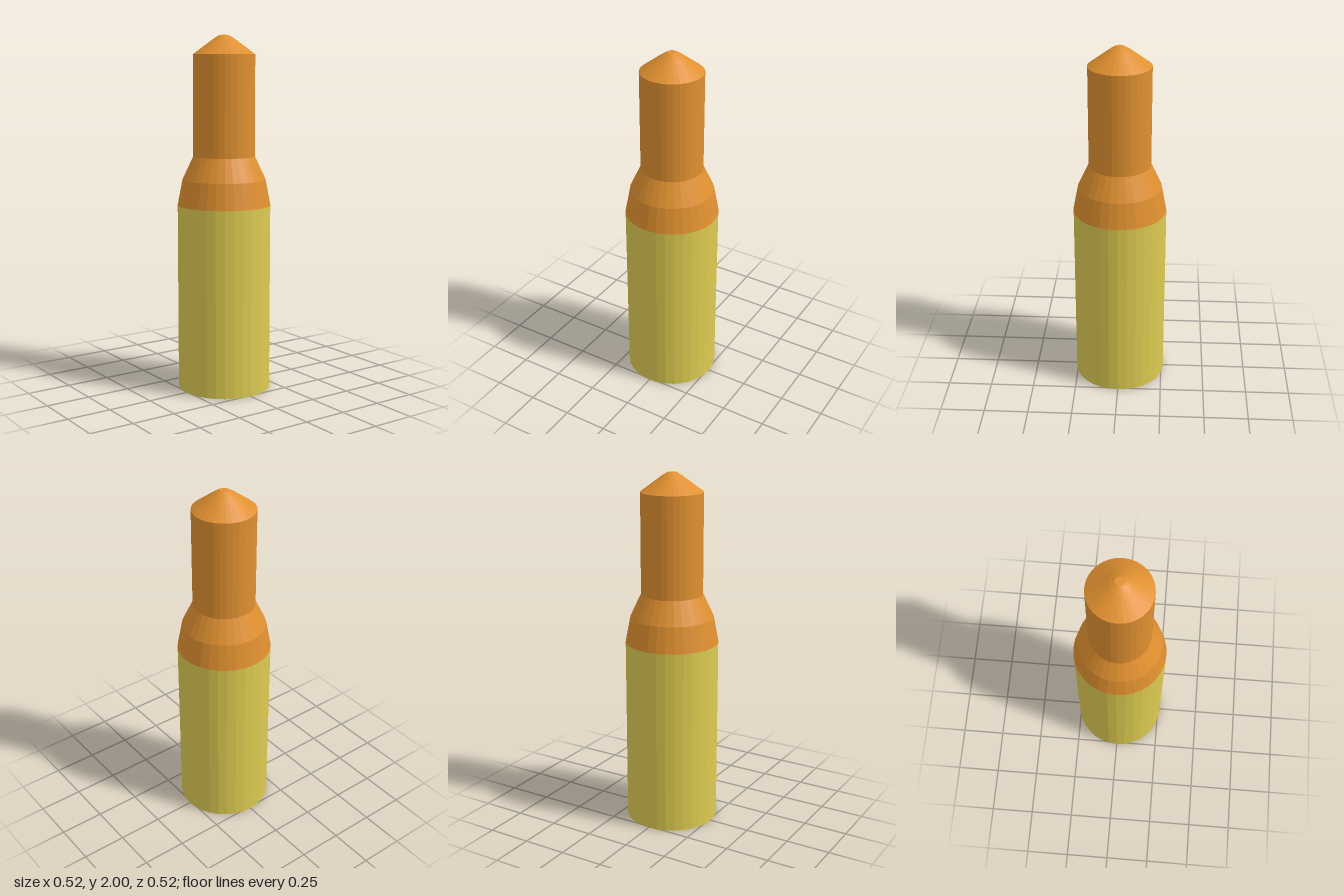
import * as THREE from 'three';

const SIDES = 32;

// Faceted solid of revolution from [radius, height] pairs, listed bottom to top
function turned(name, profile, color) {
  const points = profile.map(([r, y]) => new THREE.Vector2(r, y));
  const material = new THREE.MeshStandardMaterial({ color, flatShading: true });
  const mesh = new THREE.Mesh(new THREE.LatheGeometry(points, SIDES), material);
  mesh.name = name;
  return mesh;
}

export function createModel() {
  const model = new THREE.Group();
  model.name = 'cartridge';

  // Straight lower body with a closed base
  model.add(turned('casing', [[0, 0], [0.262, 0], [0.262, 1.055]], 0xdccb50));

  // Sloped shoulder, narrow neck and blunt conical tip
  model.add(turned('shoulder', [[0.262, 1.055], [0.234, 1.2], [0.173, 1.33]], 0xe0902f));
  model.add(turned('neck', [[0.173, 1.33], [0.173, 1.895]], 0xe0902f));
  model.add(turned('tip', [[0.173, 1.895], [0.055, 1.982], [0.025, 2], [0, 2]], 0xe0902f));

  return model;
}
